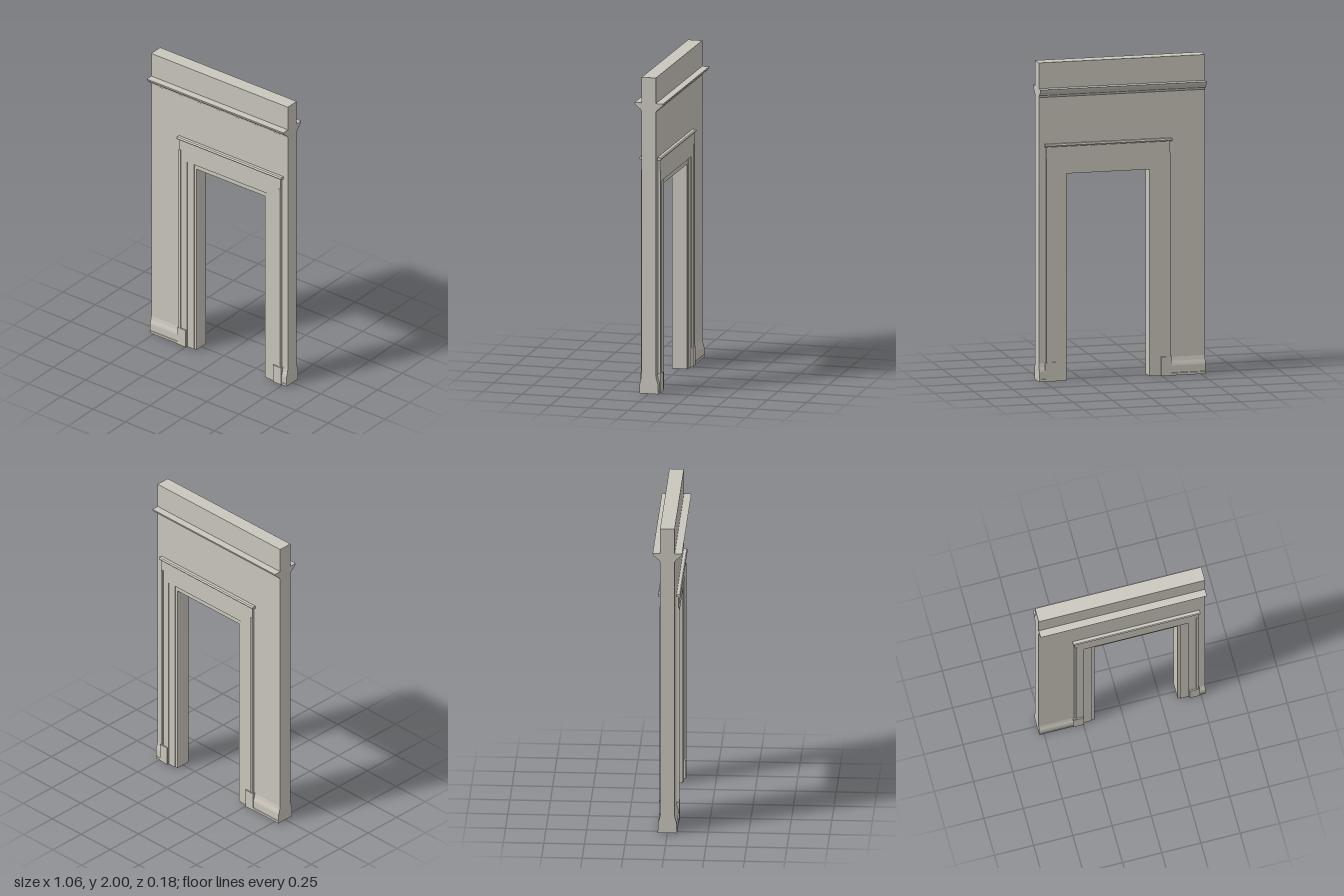
import * as THREE from 'three';

const plaster = new THREE.MeshStandardMaterial({ color: 0xcac6bd });
plaster.name = 'warm grey plaster';

const HALF = 0.53;      // half width of the wall
const FACE = 0.045;     // half depth of the wall
const DOOR = 0.09;      // x of the doorway centre

function add(group, name, geometry) {
  const mesh = new THREE.Mesh(geometry, plaster);
  mesh.name = name;
  group.add(mesh);
  return mesh;
}

// Flat board standing proud of the wall face, from z = FACE to z = front
function board(group, name, x0, x1, y0, y1, front) {
  const g = new THREE.BoxGeometry(x1 - x0, y1 - y0, front - FACE);
  g.translate((x0 + x1) / 2, (y0 + y1) / 2, (front + FACE) / 2);
  return add(group, name, g);
}

// Moulding: a [z, y] profile run along x
function moulding(group, name, x0, x1, profile) {
  const shape = new THREE.Shape(profile.map(([z, y]) => new THREE.Vector2(-z, y)));
  const g = new THREE.ExtrudeGeometry(shape, { depth: x1 - x0, bevelEnabled: false });
  g.rotateY(Math.PI / 2);
  g.translate(x0, 0, 0);
  return add(group, name, g);
}

// All trim for one face of the wall
function buildTrim() {
  const trim = new THREE.Group();

  moulding(trim, 'crownMoulding', -HALF, HALF, [
    [FACE, 1.782], [0.05, 1.786], [0.053, 1.796], [0.06, 1.8], [0.066, 1.805], [0.073, 1.812],
    [0.08, 1.818], [0.086, 1.824], [0.09, 1.832], [0.091, 1.838], [FACE, 1.838],
  ]);

  const base = [
    [FACE, 0], [0.06, 0], [0.06, 0.015], [0.058, 0.017], [0.058, 0.062], [0.056, 0.072],
    [0.053, 0.082], [0.05, 0.09], [0.048, 0.1], [FACE, 0.115],
  ];
  moulding(trim, 'baseboard', -HALF, DOOR - 0.4, base);
  moulding(trim, 'baseboard', DOOR + 0.4, HALF, base);

  // Stepped casing on both sides of the doorway
  const steps = [
    ['innerBead', 0.265, 0.283, 0, 1.33, 0.048],
    ['innerFascia', 0.283, 0.333, 0, 1.33, 0.052],
    ['outerFascia', 0.333, 0.38, 0, 1.4, 0.056],
    ['backBand', 0.38, 0.394, 0, 1.4, 0.062],
    ['plinthBlock', 0.338, 0.402, 0, 0.12, 0.064],
  ];
  for (const [name, a, b, y0, y1, z] of steps) {
    board(trim, name, DOOR + a, DOOR + b, y0, y1, z);
    board(trim, name, DOOR - b, DOOR - a, y0, y1, z);
  }

  // Head of the doorway
  board(trim, 'headBead', DOOR - 0.265, DOOR + 0.265, 1.298, 1.33, 0.048);
  board(trim, 'headFascia', DOOR - 0.333, DOOR + 0.333, 1.33, 1.4, 0.056);
  board(trim, 'frieze', DOOR - 0.394, DOOR + 0.394, 1.4, 1.474, 0.058);
  moulding(trim, 'headCap', DOOR - 0.405, DOOR + 0.405, [
    [FACE, 1.472], [0.064, 1.472], [0.068, 1.475], [0.07, 1.48], [0.068, 1.486], [0.064, 1.489], [FACE, 1.489],
  ]);
  return trim;
}

export function createModel() {
  const model = new THREE.Group();
  model.name = 'doorwayWall';

  // Wall with a doorway open to the floor
  const outline = [
    [-HALF, 0], [DOOR - 0.265, 0], [DOOR - 0.265, 1.298], [DOOR + 0.265, 1.298],
    [DOOR + 0.265, 0], [HALF, 0], [HALF, 2], [-HALF, 2],
  ].map(([x, y]) => new THREE.Vector2(x, y));
  const wall = new THREE.ExtrudeGeometry(new THREE.Shape(outline), { depth: FACE * 2, bevelEnabled: false });
  wall.translate(0, 0, -FACE);
  add(model, 'wall', wall);

  const front = buildTrim();
  front.name = 'frontTrim';
  model.add(front);

  // The same trim mirrored to the other face
  const back = buildTrim();
  back.name = 'backTrim';
  back.scale.z = -1;
  model.add(back);

  return model;
}
